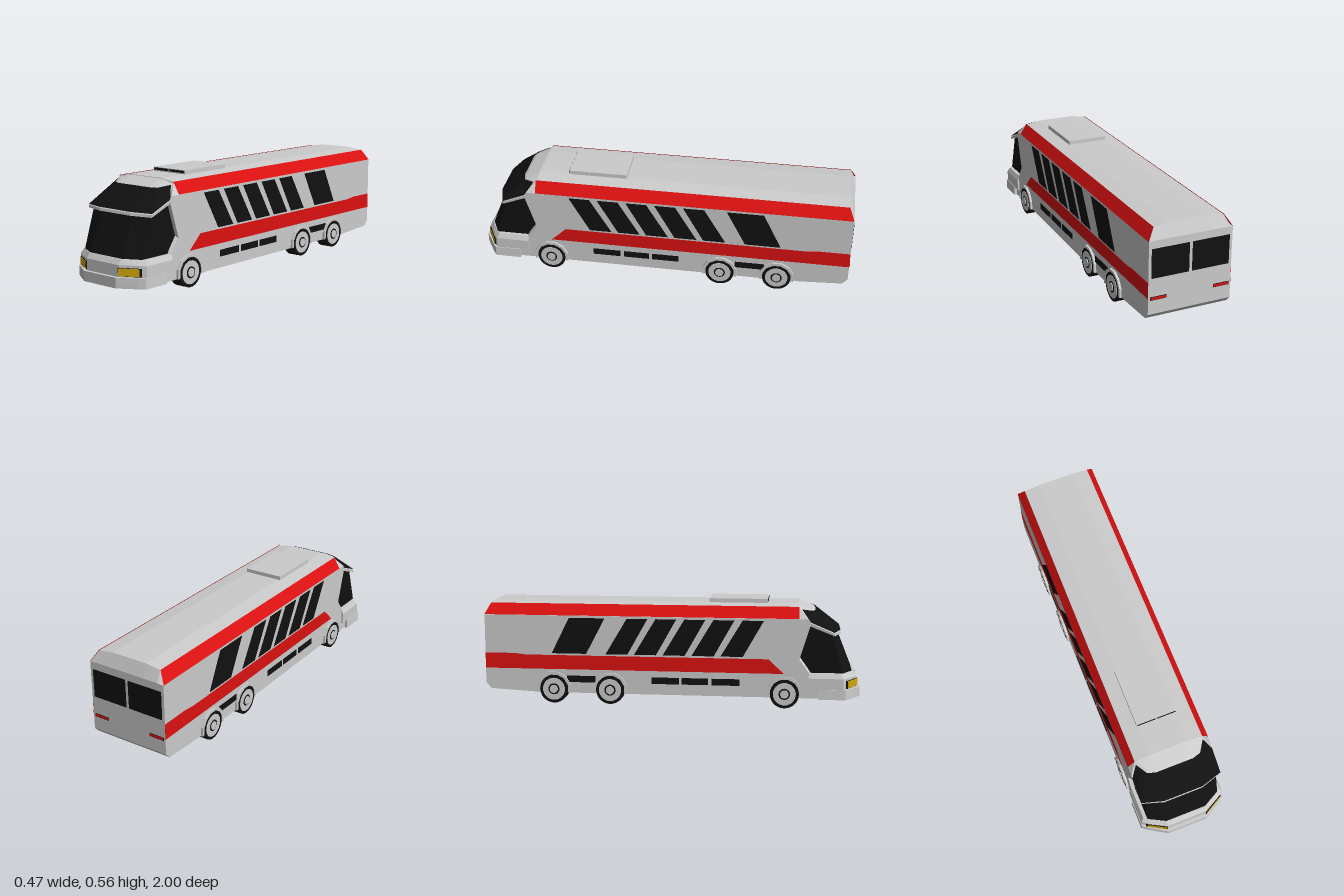
import * as THREE from 'three';

const mat = (color, side = THREE.FrontSide) =>
  new THREE.MeshStandardMaterial({ color, side, flatShading: true });
const grey = mat(0xcccccc), greyThin = mat(0xcccccc, THREE.DoubleSide);
const black = mat(0x111111), blackThin = mat(0x111111, THREE.DoubleSide);
const red = mat(0xdd1111), redThin = mat(0xdd1111, THREE.DoubleSide);
const amber = mat(0xd4a80f), tyreBlack = new THREE.MeshStandardMaterial({ color: 0x111111 });

// Mirrors a half outline (right side, back to front or bottom to top) into a full one
const full = half => [...half, ...half.slice().reverse().map(([x, y, z]) => [-x, y, z])];

// Skins a list of equal-length outlines; a solid is capped and turned outward
function loft(rings, solid = true) {
  const tris = [], n = rings[0].length;
  for (let i = 0; i + 1 < rings.length; i++) {
    for (let j = 0; j < (solid ? n : n - 1); j++) {
      const k = (j + 1) % n, a = rings[i], b = rings[i + 1];
      tris.push([a[j], a[k], b[k]], [a[j], b[k], b[j]]);
    }
  }
  if (solid) {
    const cap = (ring, flip) => {
      const c = [0, 1, 2].map(d => ring.reduce((s, p) => s + p[d], 0) / n);
      ring.forEach((p, j) => {
        const q = ring[(j + 1) % n];
        tris.push(flip ? [c, q, p] : [c, p, q]);
      });
    };
    cap(rings[0], true);
    cap(rings[rings.length - 1], false);
    const volume = tris.reduce((s, [a, b, c]) => s + new THREE.Vector3(...a)
      .dot(new THREE.Vector3(...b).cross(new THREE.Vector3(...c))), 0);
    if (volume < 0) tris.forEach(t => t.reverse());
  }
  const g = new THREE.BufferGeometry();
  g.setAttribute('position', new THREE.Float32BufferAttribute(tris.flat(2), 3));
  g.computeVertexNormals();
  return g;
}

export function createModel() {
  const bus = new THREE.Group();
  bus.name = 'bus';
  const add = (name, geometry, material, parent = bus) => {
    const m = new THREE.Mesh(geometry, material);
    m.name = name;
    parent.add(m);
    return m;
  };
  const box = (name, [x0, x1], [y0, y1], [z0, z1], material) =>
    add(name, new THREE.BoxGeometry(x1 - x0, y1 - y0, z1 - z0), material)
      .position.set((x0 + x1) / 2, (y0 + y1) / 2, (z0 + z1) / 2);

  // Thin panel on a side wall from [z, y] corners
  const sidePanel = (name, s, corners, material, depth = 0.002) => {
    const shape = new THREE.Shape(corners.map(([z, y]) => new THREE.Vector2(-z, y)));
    const g = new THREE.ExtrudeGeometry(shape, { depth, bevelEnabled: false });
    g.rotateY(Math.PI / 2);
    add(name, g, material).position.x = s > 0 ? 0.22 : -0.22 - depth;
  };

  // Main body: cross-sections from the tail to the stepped front edge
  const section = (bottom, z) => full([[0.22, bottom], [0.22, 0.19], [0.22, 0.26], [0.22, 0.45],
    [0.22, 0.472], [0.183, 0.53], [0.1, 0.542]].map(([x, y]) => [x, y, z]));
  const frontZ = [0.8, 0.73, 0.68, 0.738, 0.725, 0.672, 0.672];
  const front = section(0.055, 0).map(([x, y], i) => [x, y, frontZ[Math.min(i, 13 - i)]]);
  const tail = section(0.1, -1).map(([x, y, z]) => [x, Math.min(y, 0.475), z]);
  add('body', loft([tail, section(0.07, -0.972), section(0.055, -0.7), section(0.055, 0.6), front]), grey);

  // Lower windscreen with wrapped cab side windows
  add('lowerWindscreen', loft([
    full([[0.2, 0.185, 0.62], [0.2, 0.185, 0.91], [0.11, 0.185, 0.957]]),
    full([[0.2, 0.445, 0.62], [0.2, 0.4, 0.84], [0.105, 0.395, 0.873]]),
  ]), black);

  // Overhanging brow: lip, glass frame and roof joint
  const lip = [[0.218, 0.44, 0.72], [0.218, 0.385, 0.86], [0.105, 0.387, 0.895]];
  const sill = [[0.22, 0.457, 0.72], [0.22, 0.398, 0.858], [0.105, 0.4, 0.892]];
  const head = [[0.184, 0.52, 0.678], [0.14, 0.51, 0.738], [0.1, 0.51, 0.75]];
  const roof = [[0.183, 0.53, 0.66], [0.13, 0.537, 0.668], [0.1, 0.542, 0.665]];
  add('browFrame', loft([lip, sill, head, roof].map(full), false), greyThin);
  add('browUnderside', loft([full(lip),
    full([[0.19, 0.445, 0.7], [0.19, 0.402, 0.83], [0.1, 0.395, 0.86]])], false), greyThin);
  const mix = (a, b, t) => a.map((v, i) => v + (b[i] - v) * t);
  const pane = t => {
    const p = sill.map((v, i) => mix(v, head[i], t));
    p[0] = mix(p[0], p[1], 0.1);
    return full(p.map(([x, y, z]) => [x + 0.001, y + 0.003, z + 0.003]));
  };
  add('upperWindscreen', loft([pane(0.02), pane(0.95)], false), blackThin);

  // Bumper and nose
  const outline = (y, x, back, corner, nose) =>
    full([[x, y, back], [x, y, corner], [x - 0.03, y, corner + 0.022], [0.11, y, nose]]);
  add('bumper', loft([outline(0.052, 0.236, 0.78, 0.92, 1), outline(0.104, 0.234, 0.78, 0.92, 1)]), grey);
  add('nose', loft([outline(0.1, 0.23, 0.73, 0.91, 0.982), outline(0.162, 0.23, 0.73, 0.91, 0.98),
    outline(0.188, 0.218, 0.73, 0.895, 0.962)]), grey);

  // Roof hatch with two dark front vents
  box('roofHatch', [-0.108, 0.108], [0.535, 0.562], [0.2, 0.51], grey);

  for (const s of [1, -1]) {
    const span = (a, b) => [Math.min(s * a, s * b), Math.max(s * a, s * b)];
    box('hatchVent', span(0.004, 0.104), [0.548, 0.559], [0.508, 0.512], black);

    // Headlight on the angled nose face
    const lamp = new THREE.Group();
    lamp.name = 'headlight';
    lamp.position.set(s * 0.158, 0.129, 0.956);
    lamp.rotation.y = s * Math.atan2(0.05, 0.09);
    add('headlightBezel', new THREE.BoxGeometry(0.118, 0.041, 0.008), black, lamp).position.x = s * 0.004;
    add('headlightLens', new THREE.BoxGeometry(0.105, 0.038, 0.012), amber, lamp);
    bus.add(lamp);

    // Rear window and tail light
    box('rearWindow', span(0.008, 0.205), [0.285, 0.435], [-1.002, -0.99], black);
    box('tailLightSurround', span(0.125, 0.21), [0.172, 0.19], [-1.001, -0.99], black);
    box('tailLight', span(0.128, 0.207), [0.175, 0.187], [-1.003, -0.99], red);

    // Red stripes: one on the roof chamfer, one along the waist
    add('roofStripe', loft([
      [[s * 0.2215, 0.473, 0.675], [s * 0.2215, 0.473, -1]],
      [[s * 0.1845, 0.532, 0.675], [s * 0.1845, 0.532, -0.972]]], false), redThin);
    sidePanel('waistStripe', s, [[0.6, 0.182], [0.52, 0.258], [-0.78, 0.258], [-0.84, 0.265],
      [-1, 0.265], [-1, 0.182]], red, 0.001);

    // Slanted side windows
    const slanted = (a, b, c, d) =>
      sidePanel('sideWindow', s, [[a, 0.46], [b, 0.46], [d, 0.268], [c, 0.268]], black);
    for (let i = 0; i < 5; i++) {
      const z = -0.153 * i;
      slanted(z + 0.493, z + 0.383, z + 0.385, z + 0.268);
    }
    slanted(-0.348, -0.54, -0.449, -0.636);

    // Low vents
    for (const [a, b] of [[0.37, 0.222], [0.203, 0.064], [0.048, -0.097], [-0.4, -0.556]])
      sidePanel('lowerVent', s, [[a, 0.113], [a, 0.148], [b, 0.148], [b, 0.113]], black);

    // Wheels with faceted arches
    for (const z of [0.605, -0.32, -0.625]) {
      const wheel = new THREE.Group();
      wheel.name = 'wheel';
      wheel.position.set(0, 0.076, z);
      const disc = (name, r, x0, x1, material) => {
        const g = new THREE.CylinderGeometry(r, r, x1 - x0, 28).rotateZ(Math.PI / 2);
        add(name, g, material, wheel).position.x = s * (x0 + x1) / 2;
      };
      disc('tyre', 0.076, 0.162, 0.23, tyreBlack);
      disc('rim', 0.06, 0.2, 0.232, grey);
      disc('hubRing', 0.03, 0.21, 0.233, tyreBlack);
      disc('hub', 0.022, 0.21, 0.237, grey);
      const arc = (r, list) => list.map(a => new THREE.Vector2(r * Math.cos(a), r * Math.sin(a)));
      const angles = [...Array(8).keys()].map(i => -0.22 + i * (Math.PI + 0.44) / 7);
      const arch = new THREE.ExtrudeGeometry(
        new THREE.Shape([...arc(0.094, angles), ...arc(0.079, angles.slice().reverse())]),
        { depth: 0.03, bevelEnabled: false });
      arch.rotateY(Math.PI / 2);
      add('wheelArch', arch, grey, wheel).position.x = s > 0 ? 0.202 : -0.232;
      bus.add(wheel);
    }
  }
  return bus;
}
